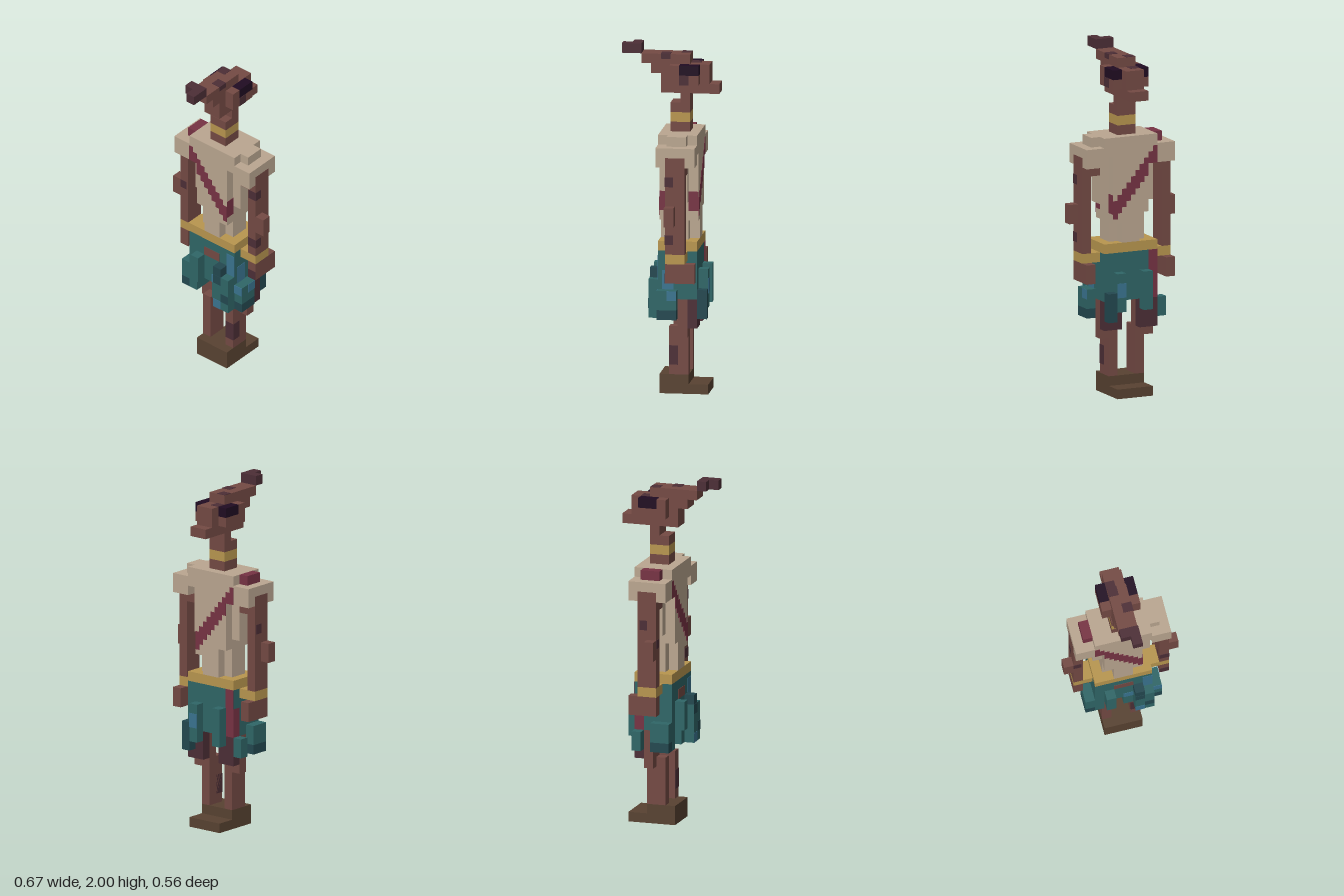
import * as THREE from 'three';

const U = 1 / 18; // one block
const mat = (name, color) => {
  const m = new THREE.MeshStandardMaterial({ color });
  m.name = name;
  return m;
};

export function createModel() {
  const skin = mat('brown skin', 0x744a44), spot = mat('dark spot', 0x4c2e36);
  const cloth = mat('tan cloth', 0xbaa690), gold = mat('gold', 0xb8964f);
  const sash = mat('maroon sash', 0x773344), teal = mat('teal', 0x2f6667);
  const deep = mat('deep teal', 0x234850), blue = mat('blue', 0x3a7490);
  const wood = mat('wood', 0x584231), black = mat('eye black', 0x200c22);

  const model = new THREE.Group();
  model.name = 'figure';
  let part = model;
  const begin = (name) => {
    part = new THREE.Group();
    part.name = name;
    model.add(part);
  };
  // Box between two corners, measured in blocks
  const box = (name, m, x0, x1, y0, y1, z0, z1) => {
    const g = new THREE.BoxGeometry((x1 - x0) * U, (y1 - y0) * U, (z1 - z0) * U);
    const mesh = new THREE.Mesh(g, m);
    mesh.name = name;
    mesh.position.set((x0 + x1) / 2 * U, (y0 + y1) / 2 * U, (z0 + z1) / 2 * U);
    part.add(mesh);
  };
  // Same box on both sides
  const pair = (name, m, x0, x1, ...r) => {
    box(name, m, x0, x1, ...r);
    box(name, m, -x1, -x0, ...r);
  };
  const T = 0.04; // thickness of painted plates

  begin('base');
  box('block', wood, -2, 2, 0, 2, -2, 1);
  box('step', wood, -2, 2, 0, 1, -4, -2);

  begin('legs');
  pair('shin', skin, 1, 2, 2, 7, -2, 0);
  pair('knee', skin, 2, 3, 6, 10, -2, -1);
  pair('thigh', skin, 1, 2, 7, 13, -2, -1);
  pair('backThigh', spot, 1, 3, 7, 10, -3, -2);
  box('shinSpot', spot, 1, 2 + T, 3, 5, -0.9, T);
  box('thighSpot', spot, -2, -1, 9, 10, -1, -1 + T);

  begin('skirt');
  box('waist', teal, -3, 3, 13, 15, -3, 1);
  box('frontLeftPanel', teal, 0, 3, 8, 13, 0, 1);
  box('frontRightPanel', teal, -3, 0, 10, 13, 0, 1);
  box('backPanel', teal, -2, 3, 10, 13, -3, -2);
  pair('sidePanel', teal, 2, 3, 10, 13, -2, 0);
  box('sideHem', teal, 2, 3, 8, 10, -1, 0);
  box('sideHem', teal, -3, -2, 8, 10, -1, 1);
  pair('sideTuft', teal, 3, 4, 9, 11, -1, 1);
  pair('sideTuftHem', deep, 3, 4, 8, 9, -1, 1);
  box('hemTuft', teal, -4, -3, 8, 10, -3, -2);
  box('frontTuft', teal, -2, -1, 10, 13, 1, 2);
  box('frontTuft', teal, 1, 2, 8, 12, 1, 2);
  box('frontTuftCap', deep, 1, 2, 12, 13, 1, 2);
  box('frontTuft', teal, 2, 3, 8, 12, 1, 2);
  box('backTuft', teal, -2, -1, 9, 13, -4, -3);
  box('backTuft', teal, 1, 2, 9, 13, -4, -3);
  box('backTuftHem', deep, 2, 3, 8, 11, -4, -3);
  box('hangingSash', sash, -3, -2, 10, 13, -3, -2);
  box('hangingSashTop', sash, -3, -2, 13, 15, -3 - T, -3);
  box('bellyGap', skin, -1, 1, 13, 14, 1, 1 + T);
  box('blueStripe', blue, 2, 3, 12, 14.5, 1, 1 + T);
  box('bluePatch', blue, 0, 1, 10, 11, 1, 1 + T);
  box('bluePatch', blue, 1, 2, 8, 9, 2, 2 + T);
  box('bluePatch', blue, 3, 3 + T, 11, 13, -0.6, 0.6);
  box('bluePatch', blue, 4, 4 + T, 10, 11, -1, 0);
  box('bluePatch', blue, 3, 4, 10, 11, 1, 1 + T);
  box('bluePatch', blue, 1, 2, 10.5, 12, -4 - T, -4);
  box('deepPatch', deep, 1, 2, 11, 12, 2, 2 + T);
  box('deepPatch', deep, 2, 3, 9, 10, 2, 2 + T);

  begin('torso');
  box('belt', gold, -3, 3, 15, 16, -3, 1);
  box('chest', cloth, -2, 2, 19, 27, -3, 1);
  box('waistColumn', cloth, -1, 1, 16, 19, -3, 1);
  box('flank', cloth, 1, 2, 16, 18, -2, 0);
  box('flankTop', cloth, 1, 2, 18, 19, -3, 1);
  box('flank', cloth, -2, -1, 16, 19, -2, 0);
  box('rib', cloth, 2, 3, 20, 25, -2, 0);
  box('rib', cloth, -3, -2, 20, 24, -2, 0);
  box('shoulderBlock', cloth, 2, 3, 25, 27, -3, 1);
  box('shoulderBlock', cloth, -3, -2, 24, 27, -3, 1);

  // Stepped diagonal band across chest and back
  begin('sash');
  for (let i = 0; i < 10; i++) {
    const x = -3 + i * 0.5;
    const mid = 24.9 - i * 0.6, low = x < -2 ? 24 : mid - 1;
    box('bandFront', sash, x, x + 0.5, low, mid + 0.9, 1, 1 + T);
    box('bandBack', sash, x, x + 0.5, low, mid + 0.9, -3 - T, -3);
  }
  box('bandEnd', sash, 2, 2 + T, 19, 21, 0, 1);
  box('bandEnd', sash, 2, 2 + T, 19, 21, -3, -2);
  box('shoulderKnot', sash, -4, -3, 26, 27, -2, 0);

  begin('arms');
  box('shoulderPad', cloth, 3, 4, 26, 27, -2, 0);
  pair('sleeve', cloth, 3, 5, 25, 26, -3, 1);
  pair('sleeveFront', cloth, 3, 5, 24, 25, 0, 1);
  pair('sleeveBack', cloth, 3, 5, 24, 25, -3, -2);
  pair('upperArm', skin, 3, 5, 23, 25, -2, 0);
  pair('arm', skin, 4, 5, 15, 23, -2, 0);
  pair('elbow', skin, 5, 6, 18, 20, -1, 0);
  pair('wristband', gold, 3, 5, 14, 15, -2, 0);
  pair('wrist', skin, 4, 5, 12, 14, -1, 0);
  pair('hand', skin, 4, 5, 12, 14, -3, -1);
  box('armSpot', spot, 4.1, 5 + T, 22, 23, -0.8, T);
  box('armSpot', spot, 4, 5 + T, 16, 17, -0.8, T);
  box('handSpot', spot, 4, 5, 12, 13, 0, T);
  box('armSpot', spot, -5, -4.2, 19.1, 20, 0, T);
  box('armSpot', spot, -5 - T, -5, 21, 22, -1.8, -1);

  begin('neck');
  box('neckBase', skin, -1, 1, 27, 28, -2, 0);
  box('collar', gold, -1, 1, 28, 29, -2, 0);
  box('neck', skin, -1, 1, 29, 30, -2, 0);
  box('throat', skin, -1, 1, 30, 31, -2, -1);

  begin('head');
  box('jaw', skin, -1, 1, 31, 32, -5, 1);
  box('face', skin, -1, 1, 32, 33, -4, 1);
  box('brow', skin, -1, 1, 33, 34, -4, 2);
  box('crown', skin, -1, 1, 34, 35, -2, 3);
  box('crestBase', spot, -1, 1, 35, 36, 3, 4);
  box('crestTip', spot, 0, 1, 35, 36, 4, 5);
  pair('cheek', skin, 1, 2, 32, 33, -3, 0);
  pair('temple', skin, 1, 2, 33, 34, -1, 0);
  pair('eye', black, 1, 2, 33, 34, -3, -1);
  box('headSpot', spot, -1, 0, 35, 35 + T, -2, -1);
  box('headSpot', spot, -1, 0, 34, 34 + T, -3, -2);
  box('headSpot', spot, 0, 1 + T, 34.5, 35 + T, 0, 1);
  box('cheekSpot', spot, 2, 2 + T, 32, 33, -2, -1);

  return model;
}
